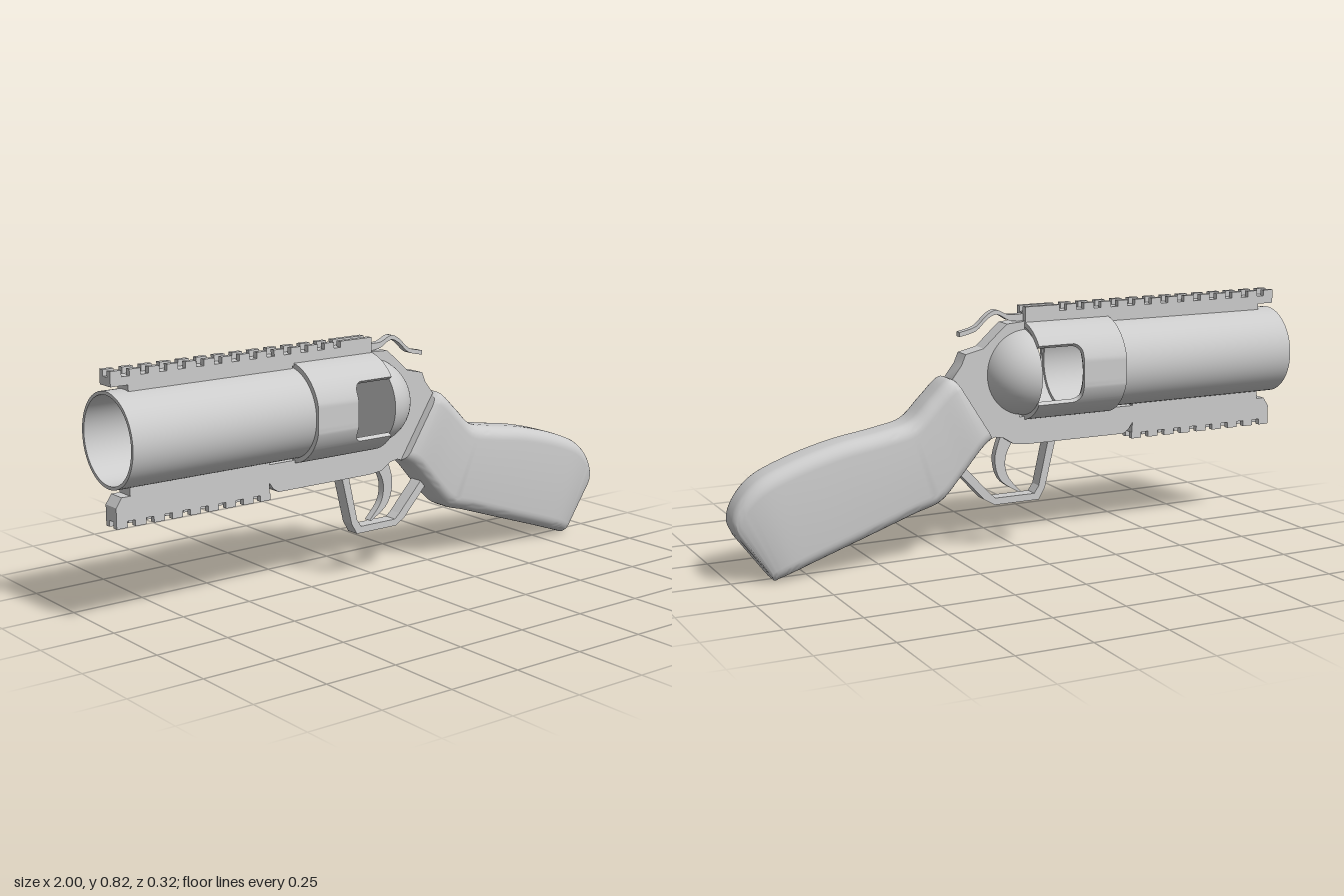
import * as THREE from 'three';
import { toCreasedNormals } from 'three/addons/utils/BufferGeometryUtils.js';

const mat = new THREE.MeshStandardMaterial({ color: 0xcccccc, side: THREE.DoubleSide });
const AXIS = 0.603; // height of the bore

function add(parent, name, geo) {
  const mesh = new THREE.Mesh(geo, mat);
  mesh.name = name;
  parent.add(mesh);
  return mesh;
}

// Side profile extruded symmetrically about z = 0
function plate(points, halfWidth, smooth = false) {
  const pts = points.map(p => new THREE.Vector2(...p));
  const shape = new THREE.Shape(pts);
  const geo = new THREE.ExtrudeGeometry(shape, { depth: halfWidth * 2, bevelEnabled: false });
  geo.translate(0, 0, -halfWidth);
  return smooth ? toCreasedNormals(geo, 0.5) : geo;
}

// Smooth open 2D curve sampled to points
function curve(points, n = 20) {
  return new THREE.SplineCurve(points.map(p => new THREE.Vector2(...p))).getPoints(n).map(p => [p.x, p.y]);
}

// Skin over closed rings of [x, y, z]; either wraps around or gets end caps
function loft(rings, wrap) {
  const m = rings[0].length, n = rings.length, index = [];
  for (let i = 0; i < (wrap ? n : n - 1); i++) {
    for (let j = 0; j < m; j++) {
      const k = (j + 1) % m, i2 = (i + 1) % n;
      const a = i * m + j, b = i * m + k, c = i2 * m + k, d = i2 * m + j;
      index.push(a, b, d, b, c, d);
    }
  }
  if (!wrap) {
    const e = (n - 1) * m;
    for (let j = 1; j < m - 1; j++) index.push(0, j + 1, j, e, e + j, e + j + 1);
  }
  const geo = new THREE.BufferGeometry();
  geo.setAttribute('position', new THREE.Float32BufferAttribute(rings.flat(2), 3));
  geo.setIndex(index);
  return toCreasedNormals(geo, 0.6);
}

// Open tube with a thin wall
function barrel() {
  const profile = [[0.139, -0.18], [0.139, -1], [0.15, -1], [0.15, -0.18], [0.139, -0.18]];
  const geo = new THREE.LatheGeometry(profile.map(p => new THREE.Vector2(...p)), 64);
  geo.rotateZ(-Math.PI / 2).translate(0, AXIS, 0);
  return toCreasedNormals(geo, 0.5);
}

// Collar with flattened cheeks and a rounded notch open to the rear on each side
function sleeve() {
  const R = 0.166, r = 0.15, half = 0.098, corner = 0.03;
  const rearEnd = y => {
    const d = half - Math.abs(y);
    if (d <= 0) return -0.02;
    return -0.175 + (d < corner ? corner - Math.sqrt(corner ** 2 - (corner - d) ** 2) : 0);
  };
  const angles = [];
  for (let i = 0; i < 120; i++) angles.push((i / 120) * Math.PI * 2);
  for (const f of [1.0005, 0.9995, 0.99, 0.97]) {
    const t = Math.acos((half * f) / R);
    angles.push(t, Math.PI - t, Math.PI + t, 2 * Math.PI - t);
  }
  angles.sort((a, b) => a - b);
  return loft(angles.map(t => {
    const xe = rearEnd(R * Math.cos(t));
    return [[xe, R], [-0.335, R], [-0.335, r], [xe, r]].map(([x, q]) =>
      [x, AXIS + q * Math.cos(t), THREE.MathUtils.clamp(q * Math.sin(t), -0.16, 0.16)]);
  }), true);
}

// Rounded-rectangle sections between a top line and a bottom line
function stock() {
  // top x, top y, bottom x, bottom y, half width
  const sections = [
    [0.24, 0.595, 0.105, 0.385, 0.06], [0.262, 0.6, 0.14, 0.36, 0.07],
    [0.33, 0.54, 0.225, 0.265, 0.073], [0.40, 0.475, 0.295, 0.195, 0.074],
    [0.49, 0.452, 0.385, 0.165, 0.074], [0.65, 0.425, 0.57, 0.102, 0.074],
    [0.81, 0.38, 0.73, 0.048, 0.074], [0.92, 0.33, 0.81, 0.02, 0.071],
    [0.98, 0.265, 0.85, 0.006, 0.062], [1.0, 0.205, 0.865, 0, 0.052],
    [0.985, 0.16, 0.868, 0.004, 0.042],
  ];
  const top = new THREE.CatmullRomCurve3(sections.map(s => new THREE.Vector3(s[0], s[1], s[4])));
  const bottom = new THREE.CatmullRomCurve3(sections.map(s => new THREE.Vector3(s[2], s[3], 0)));
  const rings = [], steps = 50;
  for (let i = 0; i <= steps; i++) {
    const a = top.getPoint(i / steps), b = bottom.getPoint(i / steps);
    const w = a.z, r = w * 0.62, ring = [];
    const h = Math.hypot(a.x - b.x, a.y - b.y) / 2;
    const ux = (a.x - b.x) / 2 / h, uy = (a.y - b.y) / 2 / h;
    for (let q = 0; q < 4; q++) {
      const su = q === 0 || q === 3 ? 1 : -1, sz = q < 2 ? 1 : -1;
      for (let k = 0; k <= 7; k++) {
        const t = (q + k / 7) * Math.PI / 2;
        const u = su * (h - r) + r * Math.cos(t);
        ring.push([(a.x + b.x) / 2 + ux * u, (a.y + b.y) / 2 + uy * u, sz * (w - r) + r * Math.sin(t)]);
      }
    }
    rings.push(ring);
  }
  return loft(rings, false);
}

// Two rows of rail teeth with a groove between them
function teeth(parent, name, x0, count, y) {
  for (let i = 0; i < count; i++) {
    for (const side of [-1, 1]) {
      const geo = new THREE.BoxGeometry(0.038, 0.022, 0.019);
      add(parent, name, geo).position.set(x0 + i * 0.0655, y, side * 0.0215);
    }
  }
}

export function createModel() {
  const model = new THREE.Group();
  model.name = 'launcher';

  add(model, 'barrel', barrel());
  add(model, 'sleeve', sleeve());

  // Domed breech with a flat face toward the barrel
  const breech = new THREE.Group();
  breech.name = 'breech';
  breech.position.set(-0.022, AXIS - 0.003, 0);
  breech.scale.set(0.142, 0.146, 0.158);
  add(breech, 'breechDome', new THREE.SphereGeometry(1, 48, 24, 0, Math.PI * 2, 0, Math.PI / 2).rotateZ(-Math.PI / 2));
  add(breech, 'breechFace', new THREE.CircleGeometry(1, 48).rotateY(-Math.PI / 2));
  model.add(breech);

  // Central frame below the sleeve and behind the breech
  add(model, 'frame', plate([
    [-0.435, 0.45], [-0.435, 0.39], [-0.42, 0.368], [-0.4, 0.355], [-0.03, 0.355], [0.02, 0.36],
    [0.06, 0.385], [0.09, 0.39], [0.13, 0.375], [0.22, 0.3], [0.27, 0.5], [0.245, 0.595],
    [0.21, 0.64], [0.195, 0.675], [0.13, 0.69], [0.08, 0.735], [0.045, 0.765], [-0.02, 0.77],
    [-0.018, 0.74], [0.0, 0.735], [0.0, 0.45],
  ], 0.031, true));

  // Upper rail
  const upper = new THREE.Group();
  upper.name = 'upperRail';
  model.add(upper);
  add(upper, 'upperRailBase', plate([
    [-1, 0.77], [-0.94, 0.77], [-0.94, 0.742], [-0.34, 0.742], [-0.34, 0.757], [-0.022, 0.757],
    [-0.022, 0.797], [-1, 0.797],
  ], 0.031));
  teeth(upper, 'upperRailTooth', -0.981, 13, 0.806);
  for (const side of [-1, 1]) {
    add(upper, 'upperRailRidge', new THREE.BoxGeometry(0.128, 0.022, 0.019)).position.set(-0.086, 0.806, side * 0.0215);
  }

  // Lower rail
  const lower = new THREE.Group();
  lower.name = 'lowerRail';
  model.add(lower);
  add(lower, 'lowerRailBase', plate([
    [-0.995, 0.354], [-0.435, 0.354], [-0.435, 0.46], [-0.945, 0.46], [-0.945, 0.43],
    [-0.975, 0.43], [-0.995, 0.4],
  ], 0.031));
  teeth(lower, 'lowerRailTooth', -0.976, 9, 0.345);

  // Curved thumb lever
  const lever = curve([[-0.022, 0.785], [0.03, 0.785], [0.075, 0.803], [0.11, 0.788], [0.15, 0.753], [0.208, 0.738]]);
  const half = i => 0.007 + 0.012 * Math.max(0, 1 - i / 6);
  add(model, 'lever', plate([
    ...lever.map(([x, y], i) => [x, y - half(i)]),
    ...lever.map(([x, y]) => [x, y + 0.008]).reverse(),
  ], 0.013, true));

  add(model, 'triggerGuard', plate([
    [-0.14, 0.36], [-0.1, 0.195], [-0.078, 0.157], [0.088, 0.157], [0.125, 0.178], [0.225, 0.285],
    [0.2, 0.3], [0.105, 0.198], [0.085, 0.18], [-0.06, 0.18], [-0.077, 0.205], [-0.112, 0.36],
  ], 0.024));

  add(model, 'trigger', plate([
    ...curve([[0.012, 0.375], [0.042, 0.315], [0.035, 0.25], [-0.015, 0.19]], 14),
    ...curve([[-0.01, 0.187], [0.06, 0.235], [0.082, 0.31], [0.062, 0.385]], 14),
  ], 0.013, true));

  add(model, 'stock', stock());
  return model;
}
